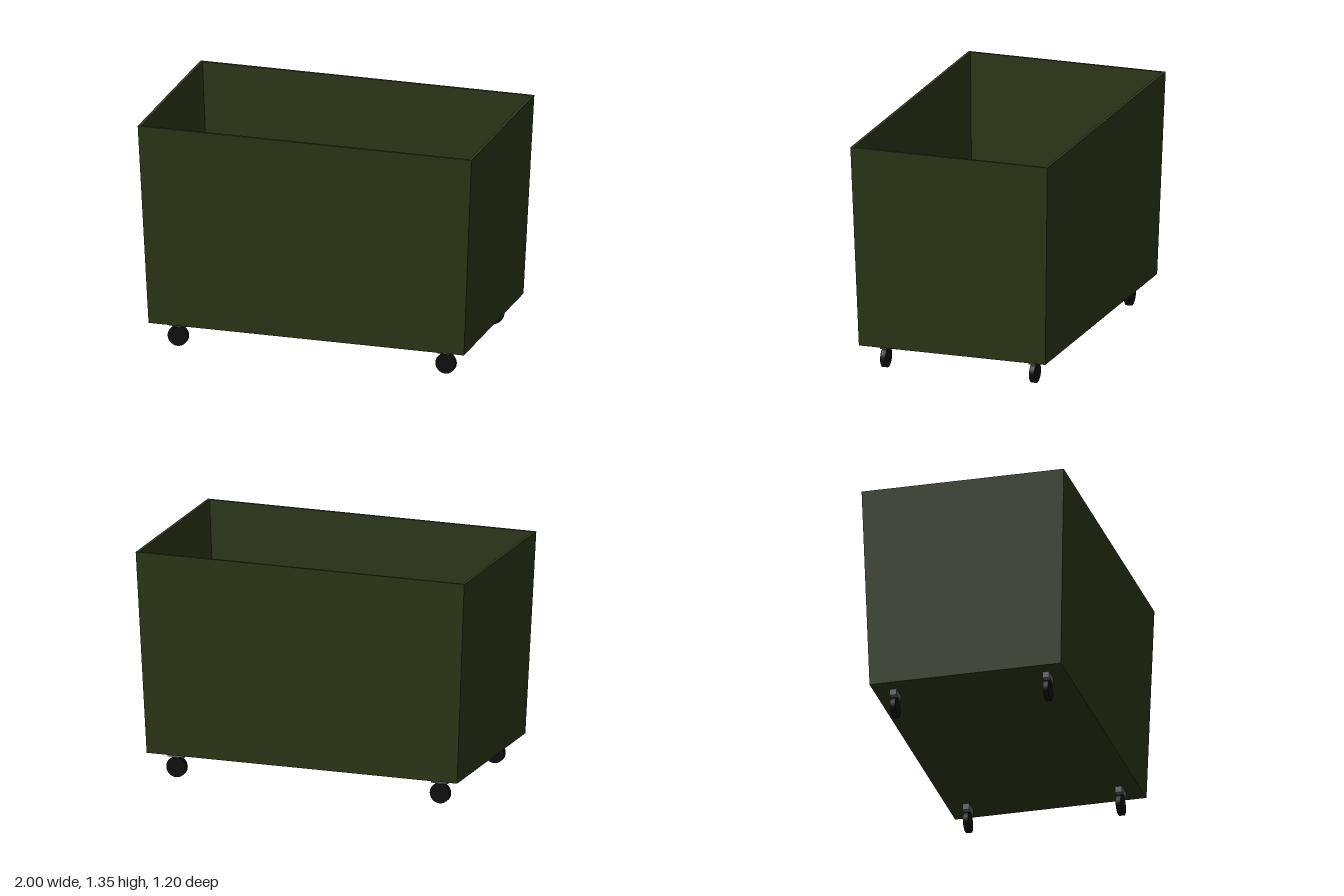
import * as THREE from 'three';

const paint = (color) => new THREE.MeshStandardMaterial({ color });

// Hollow, tapered box lofted through four-cornered rings [halfX, y, halfZ]
function taperedBin(rings) {
  const corners = [[1, 1], [1, -1], [-1, -1], [-1, 1]];
  const pos = [];
  const point = (r, i) => {
    const [hx, y, hz] = rings[r], [sx, sz] = corners[i % 4];
    return [sx * hx, y, sz * hz];
  };
  const quad = (a, b, c, d) => pos.push(...a, ...b, ...c, ...a, ...c, ...d);
  for (let r = 0; r < rings.length - 1; r++) {
    for (let i = 0; i < 4; i++) {
      quad(point(r, i), point(r, i + 1), point(r + 1, i + 1), point(r + 1, i));
    }
  }
  const last = rings.length - 1;
  quad(point(0, 0), point(0, 3), point(0, 2), point(0, 1)); // underside
  quad(point(last, 0), point(last, 1), point(last, 2), point(last, 3)); // inner floor
  const geometry = new THREE.BufferGeometry();
  geometry.setAttribute('position', new THREE.Float32BufferAttribute(pos, 3));
  geometry.computeVertexNormals();
  return geometry;
}

export function createModel() {
  const model = new THREE.Group();
  model.name = 'wheeledBin';
  const green = paint(0x2f3a1a), metal = paint(0x666666), rubber = paint(0x111111);

  // Open container: outer bottom, outer rim, inner rim, inner floor
  const bin = new THREE.Mesh(taperedBin([
    [0.945, 0.158, 0.566],
    [1.0, 1.354, 0.598],
    [0.983, 1.354, 0.581],
    [0.925, 0.18, 0.55],
  ]), green);
  bin.name = 'binBody';
  model.add(bin);

  // Four casters, one near each corner
  const bracketShape = new THREE.BoxGeometry(0.1, 0.038, 0.04);
  const wheelShape = new THREE.CylinderGeometry(0.06, 0.06, 0.03, 32).rotateX(Math.PI / 2);
  for (const x of [-0.802, 0.802]) {
    for (const z of [-0.452, 0.452]) {
      const caster = new THREE.Group();
      caster.name = `${z > 0 ? 'front' : 'back'}${x > 0 ? 'Left' : 'Right'}Caster`;
      caster.position.set(x, 0, z);
      const bracket = new THREE.Mesh(bracketShape, metal);
      bracket.name = 'bracket';
      bracket.position.y = 0.14;
      const wheel = new THREE.Mesh(wheelShape, rubber);
      wheel.name = 'wheel';
      wheel.position.y = 0.061;
      caster.add(bracket, wheel);
      model.add(caster);
    }
  }
  return model;
}
